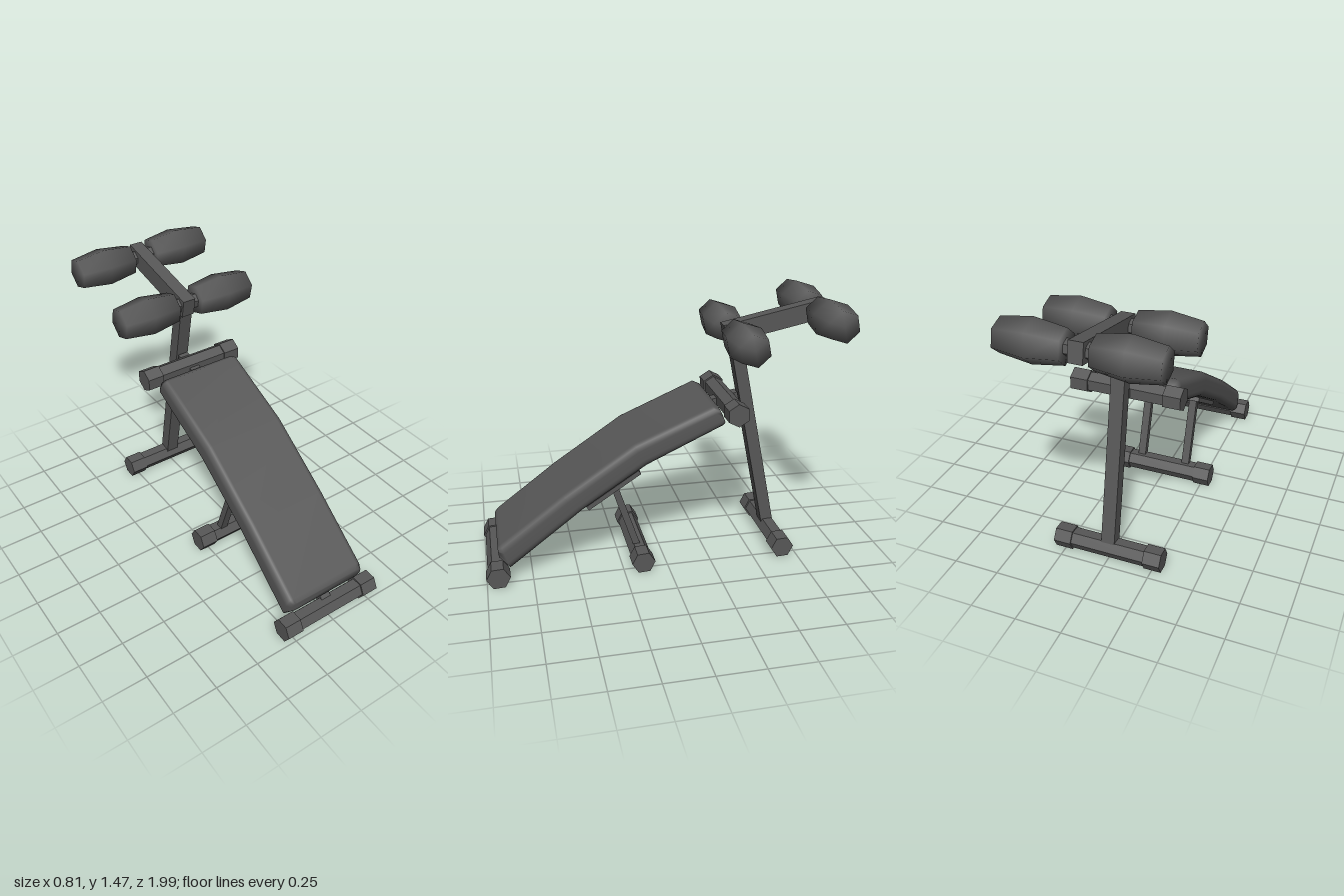
import * as THREE from 'three';

const steel = new THREE.MeshStandardMaterial({ color: 0x575757 });
steel.name = 'dark grey';
const rad = THREE.MathUtils.degToRad;

export function createModel() {
  const model = new THREE.Group();
  model.name = 'sitUpBench';

  function add(geometry, name, parent = model) {
    const mesh = new THREE.Mesh(geometry, steel);
    mesh.name = name;
    parent.add(mesh);
    return mesh;
  }

  // Square tube between two [z, y] points at a given x
  function strut(name, from, to, width, depth, x = 0) {
    const dz = to[0] - from[0], dy = to[1] - from[1];
    const mesh = add(new THREE.BoxGeometry(width, Math.hypot(dz, dy), depth), name);
    mesh.position.set(x, (from[1] + to[1]) / 2, (from[0] + to[0]) / 2);
    mesh.rotation.x = Math.atan2(dz, dy);
  }

  // Hexagonal rod lying along x
  function hexRod(name, radius, length, x, turn, parent) {
    const geo = new THREE.CylinderGeometry(radius, radius, length, 6, 1, false, rad(turn)).toNonIndexed();
    geo.computeVertexNormals();
    const mesh = add(geo, name, parent);
    mesh.rotation.z = -Math.PI / 2;
    mesh.position.x = x;
  }

  // Cross bars with thicker end caps: name, z, y, turn
  const bars = [
    ['frontFoot', 0.938, 0.065, 3],
    ['middleFoot', 0.145, 0.065, 3],
    ['rearFoot', -0.66, 0.068, 3],
    ['headBar', -0.374, 0.893, -28],
  ];
  for (const [name, z, y, turn] of bars) {
    const bar = new THREE.Group();
    bar.name = name;
    bar.position.set(0, y, z);
    model.add(bar);
    hexRod('crossBar', 0.056, 0.44, 0, turn, bar);
    for (const s of [-1, 1]) hexRod('endCap', 0.065, 0.096, s * 0.255, turn, bar);
  }

  // Post, leg arm and connectors
  strut('post', [-0.66, 0.08], [-0.418, 1.27], 0.075, 0.07);
  strut('rollerArm', [-0.365, 1.265], [-0.942, 1.384], 0.075, 0.105);
  strut('headConnector', [-0.27, 0.865], [-0.45, 0.905], 0.06, 0.05);
  strut('footConnector', [0.94, 0.065], [0.85, 0.17], 0.06, 0.05);

  // Plate under the pad with two legs
  strut('supportPlate', [0.437, 0.388], [0.147, 0.577], 0.43, 0.026);
  for (const s of [-1, 1]) strut('supportLeg', [0.145, 0.065], [0.283, 0.488], 0.045, 0.038, s * 0.14);

  // Barrel shaped foam rollers on their axles
  const profile = [[0, -0.167], [0.088, -0.167], [0.112, 0], [0.088, 0.167], [0, 0.167]]
    .map(([r, h]) => new THREE.Vector2(r, h));
  for (const [name, z, y] of [['frontRollers', -0.414, 1.273], ['rearRollers', -0.885, 1.372]]) {
    const pair = new THREE.Group();
    pair.name = name;
    pair.position.set(0, y, z);
    model.add(pair);
    hexRod('axle', 0.042, 0.2, 0, -18, pair);
    for (const s of [-1, 1]) {
      const roller = add(new THREE.LatheGeometry(profile, 6, rad(-18)), 'foamRoller', pair);
      roller.rotation.z = -Math.PI / 2;
      roller.position.x = s * 0.238;
    }
  }

  add(padGeometry(), 'backPad');
  return model;
}

// Curved pad: rounded rectangle swept through stations
function padGeometry() {
  // bottom z, bottom y, top z, top y, half width
  const stations = [
    [0.925, 0.147, 0.931, 0.205, 0.235],
    [0.869, 0.083, 0.912, 0.227, 0.25],
    [0.463, 0.393, 0.57, 0.484, 0.25],
    [0.11, 0.623, 0.179, 0.746, 0.25],
    [-0.312, 0.817, -0.249, 0.928, 0.25],
    [-0.324, 0.825, -0.288, 0.912, 0.238],
  ];
  const steps = 4, ring = [];
  // Each corner gives [side, inset of the edge, height 0..1]
  for (let c = 0; c < 4; c++) {
    for (let k = 0; k <= steps; k++) {
      const a = (c + k / steps) * Math.PI / 2;
      const sx = c === 0 || c === 3 ? 1 : -1, sy = c < 2 ? 1 : -1;
      ring.push([sx, 0.035 * (1 - Math.abs(Math.cos(a))), 0.5 + sy * 0.2 + 0.3 * Math.sin(a)]);
    }
  }
  const n = ring.length, pos = [], idx = [];
  for (const [bz, by, tz, ty, w] of stations) {
    for (const [side, inset, t] of ring) {
      pos.push(side * (w - inset), by + (ty - by) * t, bz + (tz - bz) * t);
    }
  }
  for (let i = 0; i < stations.length - 1; i++) {
    for (let j = 0; j < n; j++) {
      const a = i * n + j, b = i * n + (j + 1) % n;
      idx.push(a, a + n, b, b, a + n, b + n);
    }
  }
  const last = (stations.length - 1) * n;
  for (let j = 1; j < n - 1; j++) {
    idx.push(0, j, j + 1, last, last + j + 1, last + j);
  }
  const geo = new THREE.BufferGeometry();
  geo.setAttribute('position', new THREE.Float32BufferAttribute(pos, 3));
  geo.setIndex(idx);
  geo.computeVertexNormals();
  return geo;
}
